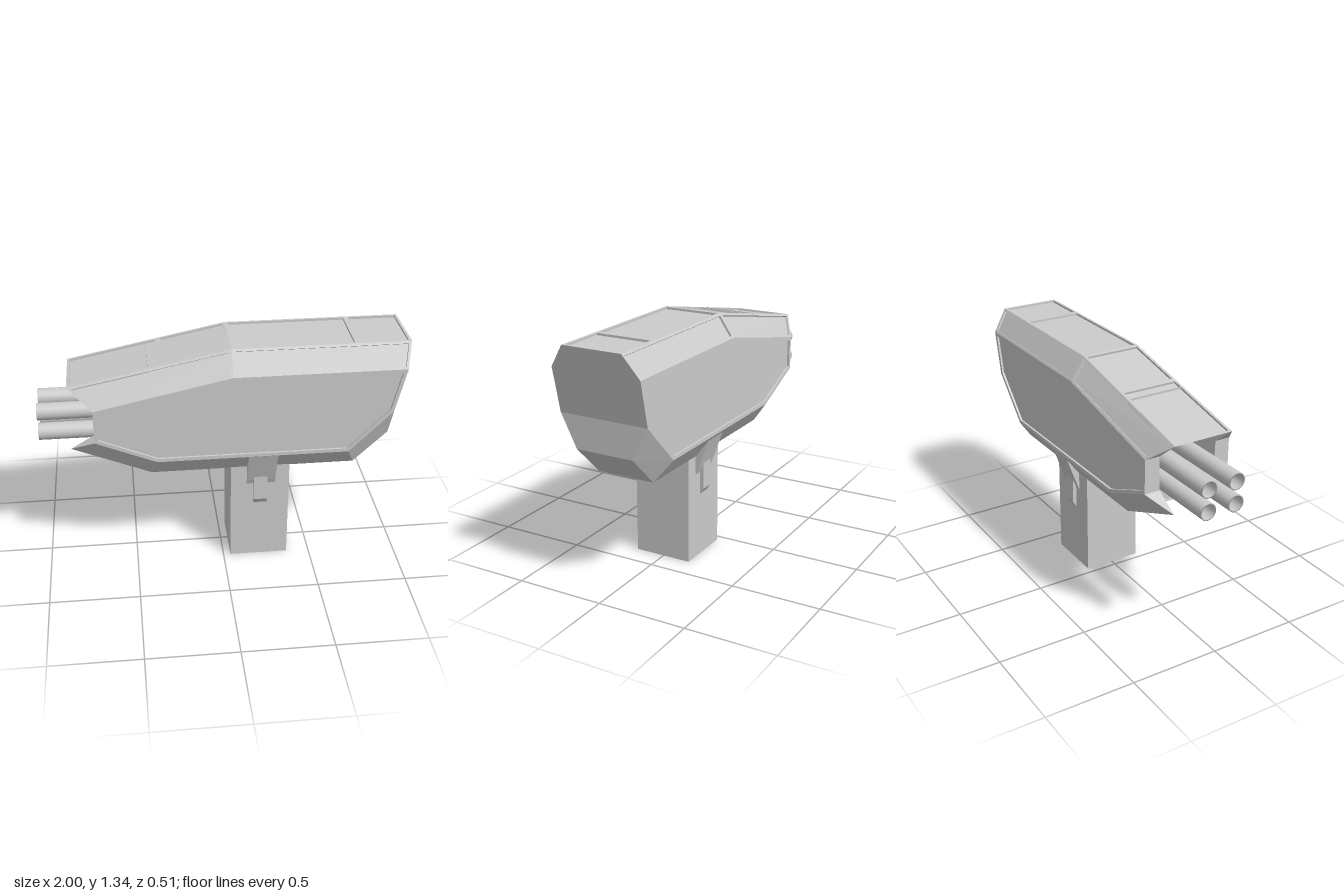
import * as THREE from 'three';

const material = new THREE.MeshStandardMaterial({ color: 0xcccccc, side: THREE.DoubleSide, flatShading: true });
const CENTRE = new THREE.Vector3(0.1, 0.97, 0);

// Flat convex face; with an inset it gets a raised rim around a sunken floor
function panel(points, inset = 0, depth = 0.012) {
  let p = points.map((a) => new THREE.Vector3(...a));
  const n = new THREE.Vector3();
  const mid = new THREE.Vector3();
  p.forEach((a, i) => {
    n.add(a.clone().cross(p[(i + 1) % p.length]));
    mid.addScaledVector(a, 1 / p.length);
  });
  n.normalize();
  if (n.dot(mid.sub(CENTRE)) < 0) { p.reverse(); n.negate(); }

  const out = [];
  const tri = (...v) => v.forEach((a) => out.push(a.x, a.y, a.z));
  const ring = (a, b) => a.forEach((_, i) => {
    const j = (i + 1) % a.length;
    tri(a[i], a[j], b[j]);
    tri(a[i], b[j], b[i]);
  });
  if (inset > 0) {
    const inward = (a, b) => n.clone().cross(b.clone().sub(a)).normalize();
    const rim = p.map((a, i) => {
      const n1 = inward(p[(i + p.length - 1) % p.length], a);
      const n2 = inward(a, p[(i + 1) % p.length]);
      const k = inset / (1 + n1.dot(n2));
      return a.clone().addScaledVector(n1.add(n2), k);
    });
    const floor = rim.map((a) => a.clone().addScaledVector(n, -depth));
    ring(p, rim);
    ring(rim, floor);
    p = floor;
  }
  for (let i = 1; i < p.length - 1; i++) tri(p[0], p[i], p[i + 1]);
  const g = new THREE.BufferGeometry();
  g.setAttribute('position', new THREE.Float32BufferAttribute(out, 3));
  g.computeVertexNormals();
  return g;
}

function add(parent, name, geometry) {
  const mesh = new THREE.Mesh(geometry, material);
  mesh.name = name;
  parent.add(mesh);
  return mesh;
}

// Long edges of the hull, front (-x) to rear (+x), as [x, y]
const ROOF = [[-0.83, 1.155], [0.04, 1.335], [1.0, 1.335]];
const SHOULDER = [[-0.70, 1.05], [0.04, 1.21], [0.972, 1.21]];
const LOWER = [[-0.70, 0.86], [-0.37, 0.72], [0.68, 0.72], [0.915, 0.96]];
const BOTTOM = [[-0.83, 0.78], [-0.40, 0.60], [0.73, 0.60], [0.915, 0.78]];
const ZR = 0.17, ZS = 0.255, ZB = 0.165;

const at = (e, z) => [e[0], e[1], z];
const across = (a, b, za, zb = za) => [at(a, za), at(b, zb), at(b, -zb), at(a, -za)];

function hull() {
  const g = new THREE.Group();
  g.name = 'hull';

  // Roof: four sunken panels
  const roofY = (x) => (x < 0.04 ? 1.335 + (x - 0.04) * 0.2069 : 1.335);
  const cuts = [-0.83, -0.33, 0.04, 0.71, 1.0];
  for (let i = 0; i < 4; i++) {
    const a = [cuts[i], roofY(cuts[i])], b = [cuts[i + 1], roofY(cuts[i + 1])];
    add(g, 'roofPanel', panel(across(a, b, ZR), 0.014));
  }

  for (const s of [1, -1]) {
    const r = ROOF.map((e) => at(e, s * ZR));
    const u = SHOULDER.map((e) => at(e, s * ZS));
    const l = LOWER.map((e) => at(e, s * ZS));
    const b = BOTTOM.map((e) => at(e, s * ZB));
    // Sides and slanted strips
    add(g, 'sidePanel', panel([...u, ...[...l].reverse()], 0.02));
    for (let i = 0; i < 2; i++) add(g, 'shoulderPanel', panel([r[i], r[i + 1], u[i + 1], u[i]], 0.014));
    for (let i = 0; i < 3; i++) add(g, 'lowerChamfer', panel([l[i], l[i + 1], b[i + 1], b[i]]));
    // Cheeks flanking the open muzzle bay
    const low = at(LOWER[0], s * ZB), high = at(SHOULDER[0], s * ZR);
    add(g, 'cheekEnd', panel([l[0], u[0], high, low]));
    add(g, 'cheekTip', panel([l[0], b[0], low]));
    add(g, 'cheekTop', panel([u[0], r[0], high]));
    const backLow = [-0.40, 0.60, s * ZB], backHigh = [-0.40, roofY(-0.40), s * ZR];
    add(g, 'bayWallLower', panel([backLow, b[0], low]));
    add(g, 'bayWall', panel([backLow, low, high, backHigh]));
    add(g, 'bayWallUpper', panel([high, r[0], backHigh]));
  }

  // Underside, rear and the bulkhead behind the barrels
  add(g, 'underside', panel(across(BOTTOM[1], BOTTOM[2], ZB)));
  add(g, 'rearSlope', panel(across(BOTTOM[2], BOTTOM[3], ZB)));
  add(g, 'rearLower', panel(across(BOTTOM[3], LOWER[3], ZB, ZS)));
  add(g, 'rearMiddle', panel(across(LOWER[3], SHOULDER[2], ZS)));
  add(g, 'rearUpper', panel(across(SHOULDER[2], ROOF[2], ZS, ZR)));
  add(g, 'bulkhead', panel(across([-0.40, 0.60], [-0.40, roofY(-0.40)], ZB, ZR)));
  return g;
}

// Hollow tube lying along x
function barrelGeometry() {
  const profile = [[0.047, 0], [0.047, 0.62], [0.04, 0.62], [0.04, 0.02], [0, 0.02]];
  const g = new THREE.LatheGeometry(profile.map((q) => new THREE.Vector2(...q)), 24).toNonIndexed();
  return g.rotateZ(Math.PI / 2);
}

// Profile of [z, y] points extruded along x from x0 to x1
function slab(points, x0, x1) {
  const shape = new THREE.Shape(points.map(([z, y]) => new THREE.Vector2(-z, y)));
  return new THREE.ExtrudeGeometry(shape, { depth: x1 - x0, bevelEnabled: false })
    .rotateY(Math.PI / 2).translate(x0, 0, 0);
}

function mount() {
  const g = new THREE.Group();
  g.name = 'mount';
  add(g, 'column', new THREE.BoxGeometry(0.33, 0.62, 0.33).translate(0.205, 0.31, 0));
  for (const s of [1, -1]) {
    const side = (pts) => pts.map(([z, y]) => [s * z, y]);
    add(g, 'bracket', slab(side([[0.15, 0.72], [0.25, 0.72], [0.178, 0.52], [0.165, 0.49], [0.15, 0.49]]), 0.13, 0.29));
    add(g, 'latch', slab(side([[0.15, 0.545], [0.187, 0.545], [0.187, 0.395], [0.165, 0.36], [0.15, 0.36]]), 0.167, 0.245));
  }
  g.position.z = 0.004;
  return g;
}

export function createModel() {
  const model = new THREE.Group();
  model.name = 'turret';
  model.add(hull(), mount());

  // Four barrels in a square
  const smooth = material.clone();
  smooth.flatShading = false;
  for (const y of [0.975, 0.853]) {
    for (const z of [0.083, -0.083]) {
      const barrel = add(model, 'barrel', barrelGeometry());
      barrel.material = smooth;
      barrel.position.set(-0.38, y, z);
    }
  }
  return model;
}
